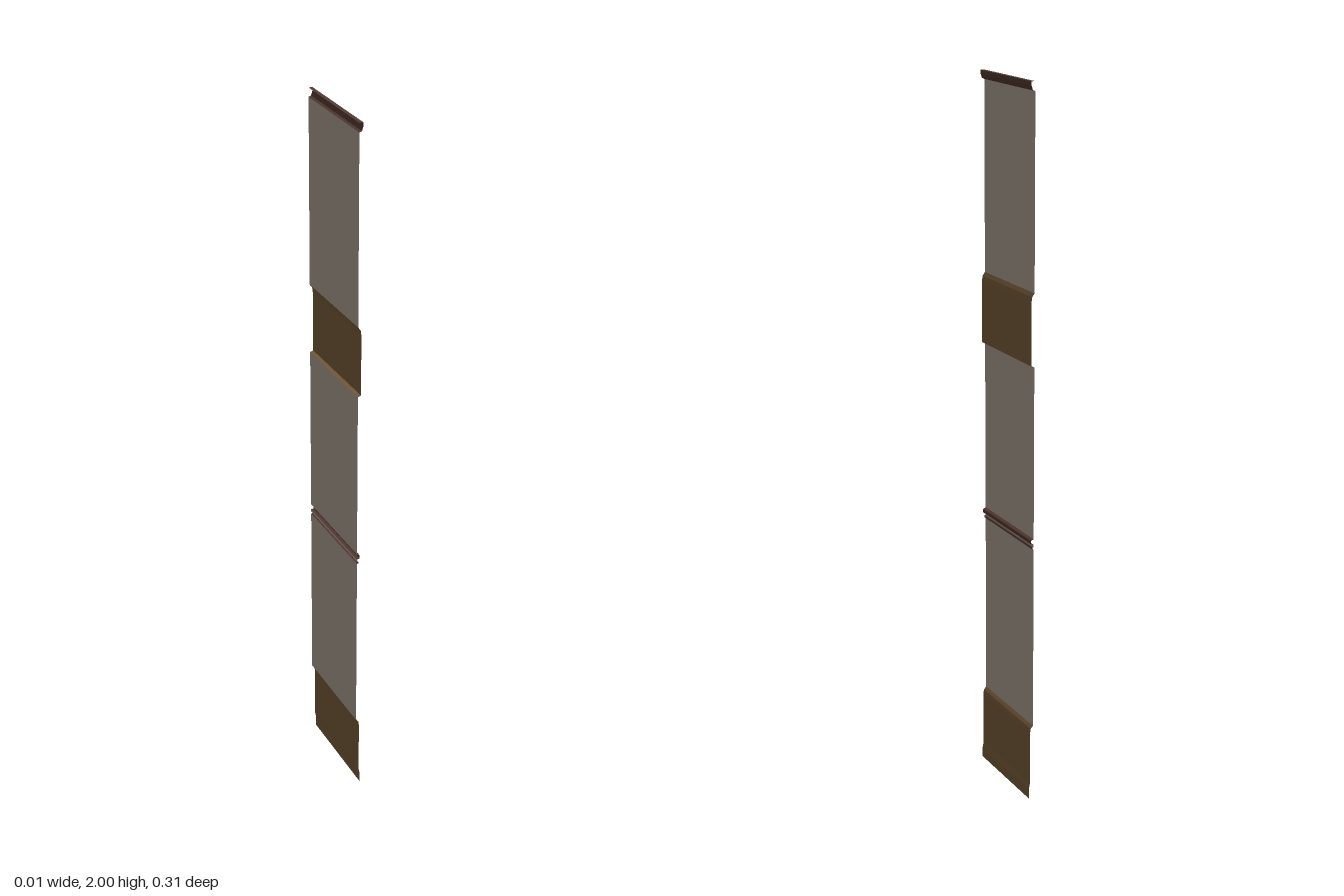
import * as THREE from 'three';

const HALF_WIDTH = 0.154;
const BACK = -0.006; // plane of the wall panels

function flatMaterial(name, color) {
  return new THREE.MeshStandardMaterial({ name, color, side: THREE.DoubleSide });
}

// Open moulding sheet: a profile of [x, y] points, bottom to top, swept along z
function sweep(name, material, profile) {
  const positions = [];
  for (let i = 0; i + 1 < profile.length; i++) {
    const [x0, y0] = profile[i];
    const [x1, y1] = profile[i + 1];
    const a = [x0, y0, HALF_WIDTH], b = [x0, y0, -HALF_WIDTH];
    const c = [x1, y1, -HALF_WIDTH], d = [x1, y1, HALF_WIDTH];
    positions.push(...a, ...b, ...c, ...a, ...c, ...d);
  }
  const geometry = new THREE.BufferGeometry();
  geometry.setAttribute('position', new THREE.Float32BufferAttribute(positions, 3));
  geometry.computeVertexNormals();
  const mesh = new THREE.Mesh(geometry, material);
  mesh.name = name;
  return mesh;
}

export function createModel() {
  const plaster = flatMaterial('plaster', 0xb3a799);
  const wood = flatMaterial('wood', 0x7e613d);
  const darkWood = flatMaterial('darkWood', 0x573c33);
  const group = new THREE.Group();
  group.name = 'wallPanel';

  // Plaster fields between the trims
  [['lowerField', 0.22, 0.74], ['middleField', 0.77, 1.25], ['upperField', 1.45, 1.975]]
    .forEach(([name, y0, y1]) => group.add(sweep(name, plaster, [[BACK, y0], [BACK, y1]])));

  // Baseboard with a flared foot and a rounded-over top
  group.add(sweep('baseboard', wood, [
    [0.006, 0], [0.006, 0.03], [0.003, 0.045], [0.003, 0.2], [0.001, 0.212], [BACK, 0.22],
  ]));

  // Broad wooden rail
  group.add(sweep('woodRail', wood, [
    [BACK, 1.25], [0.003, 1.253], [0.003, 1.425], [0.001, 1.44], [BACK, 1.45],
  ]));

  // Narrow rail: two dark beads around a plaster groove
  group.add(sweep('lowerBead', darkWood, [[BACK, 0.74], [-0.002, 0.741], [-0.002, 0.746], [BACK, 0.747]]));
  group.add(sweep('beadGroove', plaster, [[BACK, 0.747], [BACK, 0.754]]));
  group.add(sweep('upperBead', darkWood, [[BACK, 0.754], [0.002, 0.756], [0.002, 0.766], [BACK, 0.77]]));

  // Dark crown with a flat top
  group.add(sweep('crown', darkWood, [
    [BACK, 1.975], [0.001, 1.978], [0.005, 1.99], [0.005, 2], [BACK, 2],
  ]));
  return group;
}
